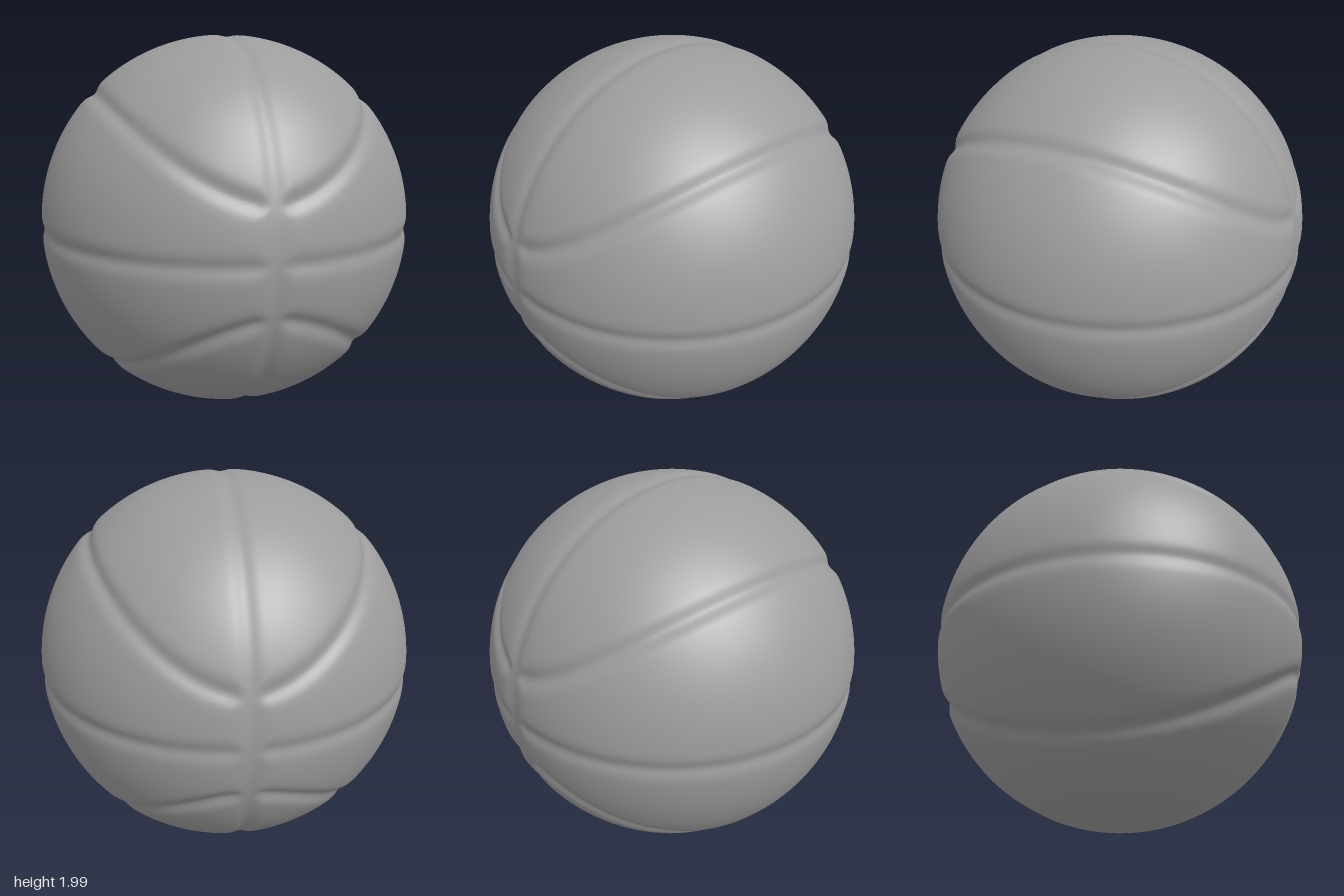
import * as THREE from 'three';
import { mergeVertices } from 'three/addons/utils/BufferGeometryUtils.js';

const SEGMENTS = 104;
const { smoothstep } = THREE.MathUtils;

// soft channel cross-section: depth at distance d from the channel's centre line
const channel = (d, depth, width) => depth * Math.exp(-((d / width) ** 2));

// depth of the seam channels at a point of the unit sphere
function seamDepth(p) {
  const x = Math.abs(p.x), y = Math.abs(p.y);

  // upright great circle, wider where the other seams run into it
  const upright = channel(x, 0.012, 0.058 - 0.018 * smoothstep(y, 0.2, 0.4));

  // the other seams run out level with the floor of the upright one
  const fade = smoothstep(x, 0, 0.1);
  const level = channel(y, 0.008 + 0.006 * fade, 0.04);

  // curved seams: |y| = 0.26 + k |x|^1.7, mirrored in all quadrants
  const k = 0.44 / 0.7 ** 1.7;
  const f = y - (0.26 + k * x ** 1.7);
  const gx = -1.7 * k * x ** 0.7;
  const radial = gx * x + y;
  const slope = Math.sqrt(Math.max(gx * gx + 1 - radial * radial, 0.1));
  const curved = channel(f / slope, 0.008 + 0.012 * fade, 0.041);

  // smooth maximum, so that crossings blend without getting deeper
  return (upright ** 6 + level ** 6 + curved ** 6) ** (1 / 6);
}

// evenly divided sphere made from a subdivided cube, with the seams pressed in
function ballGeometry() {
  let geo = new THREE.BoxGeometry(2, 2, 2, SEGMENTS, SEGMENTS, SEGMENTS);
  geo.deleteAttribute('normal');
  geo.deleteAttribute('uv');
  geo.clearGroups();
  geo = mergeVertices(geo, 1e-4);
  const pos = geo.attributes.position;
  const p = new THREE.Vector3();
  const even = (v) => Math.tan((v * Math.PI) / 4);
  for (let i = 0; i < pos.count; i++) {
    p.fromBufferAttribute(pos, i);
    p.set(even(p.x), even(p.y), even(p.z)).normalize();
    p.multiplyScalar(1 - seamDepth(p));
    pos.setXYZ(i, p.x, p.y, p.z);
  }
  geo.computeVertexNormals();
  return geo;
}

export function createModel() {
  const group = new THREE.Group();
  group.name = 'basketball';
  const ball = new THREE.Mesh(ballGeometry(), new THREE.MeshStandardMaterial({ color: 0x9c9c9c }));
  ball.name = 'ballWithSeams';
  ball.position.y = 1;
  group.add(ball);
  return group;
}
